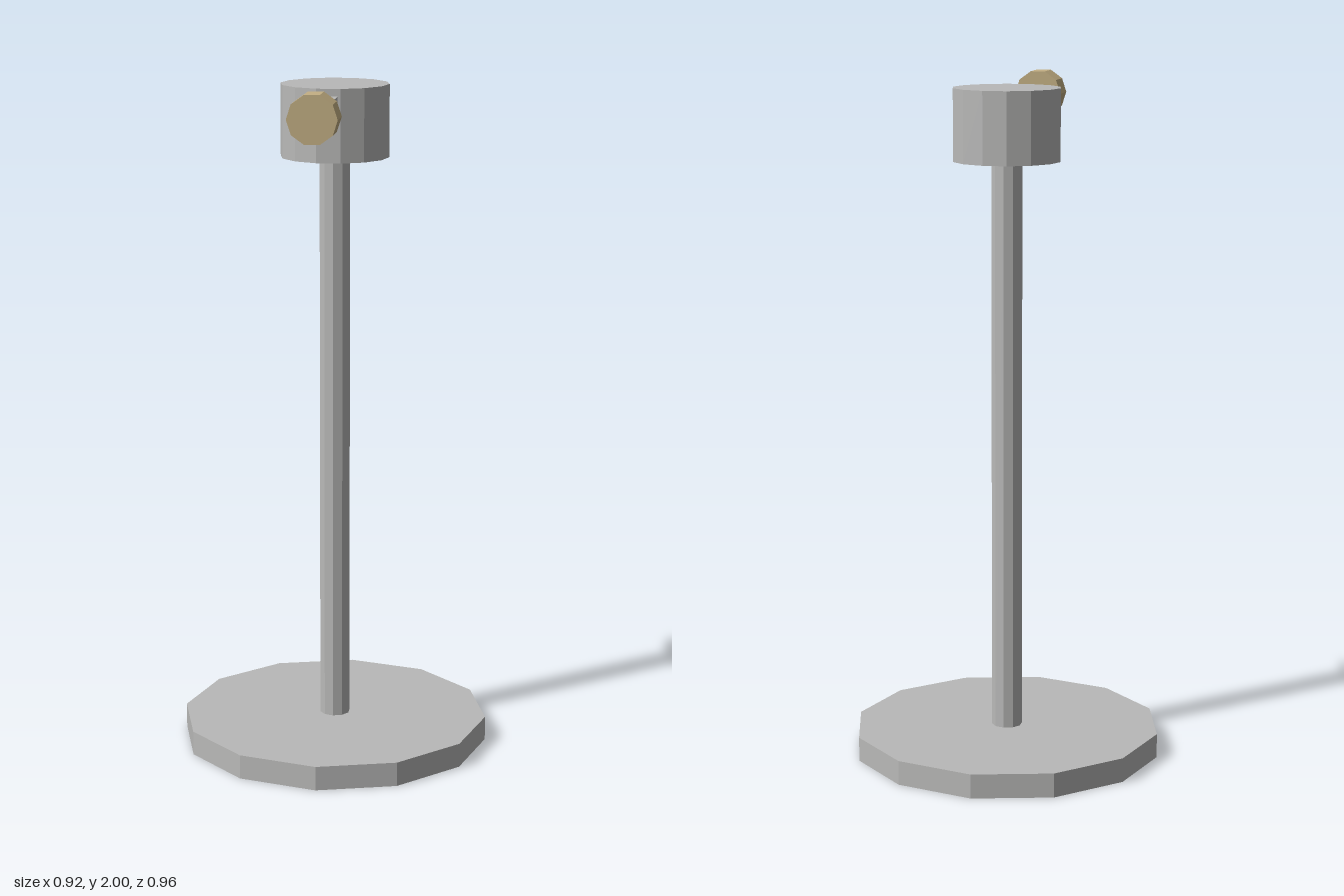
import * as THREE from 'three';

export function createModel() {
  const model = new THREE.Group();
  const steel = new THREE.MeshStandardMaterial({ color: 0xb9b9b8, flatShading: true });
  steel.name = 'steel grey';
  const brass = new THREE.MeshStandardMaterial({ color: 0xc4b084, flatShading: true });
  brass.name = 'brass';

  const axisZ = -0.023; // the stand sits slightly behind centre
  const armY = 1.934;

  const add = (name, geometry, material, x, y, z) => {
    const mesh = new THREE.Mesh(geometry, material);
    mesh.name = name;
    mesh.position.set(x, y, z);
    model.add(mesh);
    return mesh;
  };

  // Upright faceted cylinder spanning y0 to y1
  const upright = (name, radius, y0, y1, sides, turn = 0) =>
    add(name, new THREE.CylinderGeometry(radius, radius, y1 - y0, sides, 1, false, turn),
      steel, 0, (y0 + y1) / 2, axisZ);

  upright('base', 0.459, 0, 0.072, 12);
  upright('pole', 0.045, 0.07, 1.78, 10);
  upright('head', 0.158, 1.77, 1.98, 14, Math.PI / 2);

  // Square arm reaching forward from the head into the knob
  add('arm', new THREE.BoxGeometry(0.053, 0.049, 0.32), steel, 0, armY, 0.25);

  // Ten-sided knob with its axis along z
  const knob = new THREE.CylinderGeometry(0.07, 0.07, 0.09, 10, 1, false, Math.PI / 2);
  knob.rotateX(Math.PI / 2);
  add('knob', knob, brass, 0, armY, 0.437);

  return model;
}
